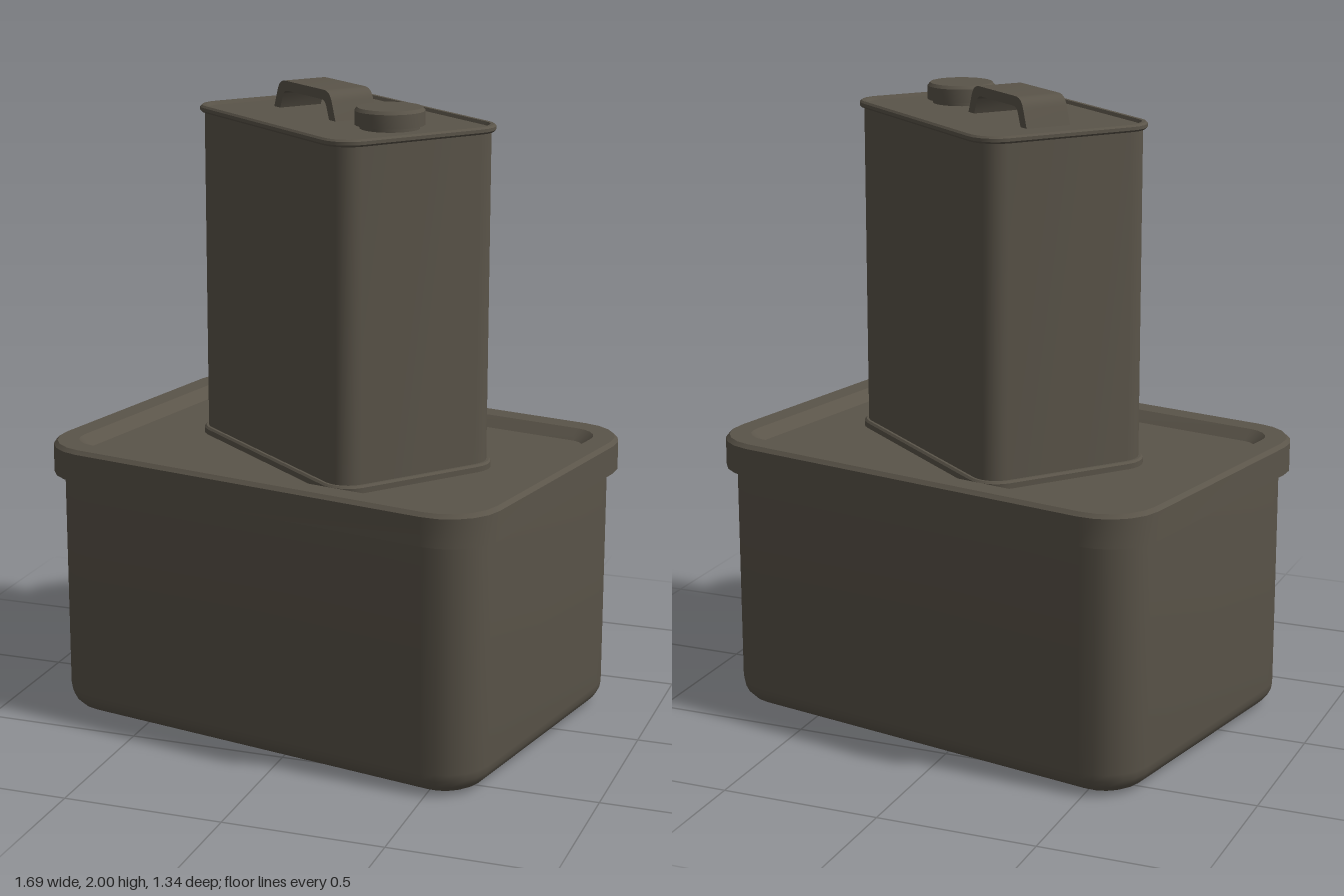
import * as THREE from 'three';
import { toCreasedNormals } from 'three/addons/utils/BufferGeometryUtils.js';

const CENTRE = Infinity; // inset value that closes a loft at its axis

// Rounded rectangle of half sizes a, b and corner radius r, shrunk by an inset
function ring(a, b, r, inset, y, steps) {
  const pts = [];
  const rad = Math.max(r - inset, 0.01);
  const signs = [[1, 1], [-1, 1], [-1, -1], [1, -1]];
  for (let q = 0; q < 4; q++) {
    for (let s = 0; s <= steps; s++) {
      const t = (q + s / steps) * Math.PI / 2;
      if (inset === CENTRE) pts.push([0, y, 0]);
      else pts.push([
        signs[q][0] * (a - inset - rad) + rad * Math.cos(t), y,
        signs[q][1] * (b - inset - rad) + rad * Math.sin(t)]);
    }
  }
  return pts;
}

// Skin a profile of [inset, y] pairs running from underneath to the top
function loft(a, b, r, profile, steps = 5, crease = 0.6) {
  const rings = profile.map(([inset, y]) => ring(a, b, r, inset, y, steps));
  const pos = [];
  for (let k = 0; k < rings.length - 1; k++) {
    const lo = rings[k], up = rings[k + 1], n = lo.length;
    for (let i = 0; i < n; i++) {
      const j = (i + 1) % n;
      if (profile[k + 1][0] !== CENTRE) pos.push(...up[i], ...up[j], ...lo[j]);
      if (profile[k][0] !== CENTRE) pos.push(...lo[i], ...up[i], ...lo[j]);
    }
  }
  const geo = new THREE.BufferGeometry();
  geo.setAttribute('position', new THREE.Float32BufferAttribute(pos, 3));
  return toCreasedNormals(geo, crease);
}

export function createModel() {
  const model = new THREE.Group();
  model.name = 'binWithCanister';
  const material = new THREE.MeshStandardMaterial({ color: 0x5a5449 });
  material.name = 'darkOlivePlastic';

  const add = (parent, name, geometry) => {
    const mesh = new THREE.Mesh(geometry, material);
    mesh.name = name;
    parent.add(mesh);
    return mesh;
  };

  // Storage bin, turned slightly
  const bin = new THREE.Group();
  bin.name = 'storageBin';
  bin.rotation.y = -0.197;
  model.add(bin);

  // Tub with a rounded bottom edge
  const tub = [[CENTRE, 0]];
  const round = 0.075;
  for (let i = 0; i <= 5; i++) {
    const t = i / 5 * Math.PI / 2;
    tub.push([round * (1 - Math.sin(t)), round * (1 - Math.cos(t))]);
  }
  tub.push([0, 0.84]);
  add(bin, 'tub', loft(0.751, 0.528, 0.15, tub));

  // Lid with overhanging skirt and sunken top
  add(bin, 'lid', loft(0.781, 0.558, 0.17, [
    [0.05, 0.79], [0, 0.79], [0, 0.88], [0.012, 0.892],
    [0.08, 0.892], [0.115, 0.86], [CENTRE, 0.86]]));

  // Canister standing on the lid
  const can = new THREE.Group();
  can.name = 'canister';
  can.position.set(0.027, 0, 0.004);
  can.rotation.y = -0.679;
  model.add(can);

  // Body with a seam lip at the foot and at the top
  add(can, 'canisterBody', loft(0.444, 0.297, 0.09, [
    [CENTRE, 0.858], [0, 0.858], [0, 0.877], [0.006, 0.883], [0.014, 0.883],
    [0.014, 1.9], [0.006, 1.9], [0, 1.906], [0, 1.916], [0.006, 1.922],
    [0.018, 1.922], [0.024, 1.912], [CENTRE, 1.912]], 6));

  // Arched strap handle
  const strap = new THREE.Shape();
  strap.moveTo(-0.185, 0);
  strap.lineTo(-0.162, 0.06);
  strap.quadraticCurveTo(-0.15, 0.092, -0.115, 0.092);
  strap.lineTo(0.115, 0.092);
  strap.quadraticCurveTo(0.15, 0.092, 0.162, 0.06);
  strap.lineTo(0.185, 0);
  strap.lineTo(0.148, 0);
  strap.lineTo(0.13, 0.044);
  strap.quadraticCurveTo(0.122, 0.062, 0.1, 0.062);
  strap.lineTo(-0.1, 0.062);
  strap.quadraticCurveTo(-0.122, 0.062, -0.13, 0.044);
  strap.lineTo(-0.148, 0);
  strap.closePath();
  const strapGeo = new THREE.ExtrudeGeometry(strap,
    { depth: 0.148, bevelEnabled: false, curveSegments: 6 });
  strapGeo.translate(0, 0, -0.074);
  add(can, 'handle', toCreasedNormals(strapGeo, 0.6)).position.set(-0.117, 1.908, 0);

  // Screw cap on a short neck
  const capProfile = [[0.09, 0], [0.09, 0.014], [0.106, 0.014], [0.106, 0.056],
    [0.098, 0.066], [0, 0.066]].map(([x, y]) => new THREE.Vector2(x, y));
  const capGeo = new THREE.LatheGeometry(capProfile, 28);
  add(can, 'screwCap', toCreasedNormals(capGeo, 0.6)).position.set(0.255, 1.91, 0);

  return model;
}
